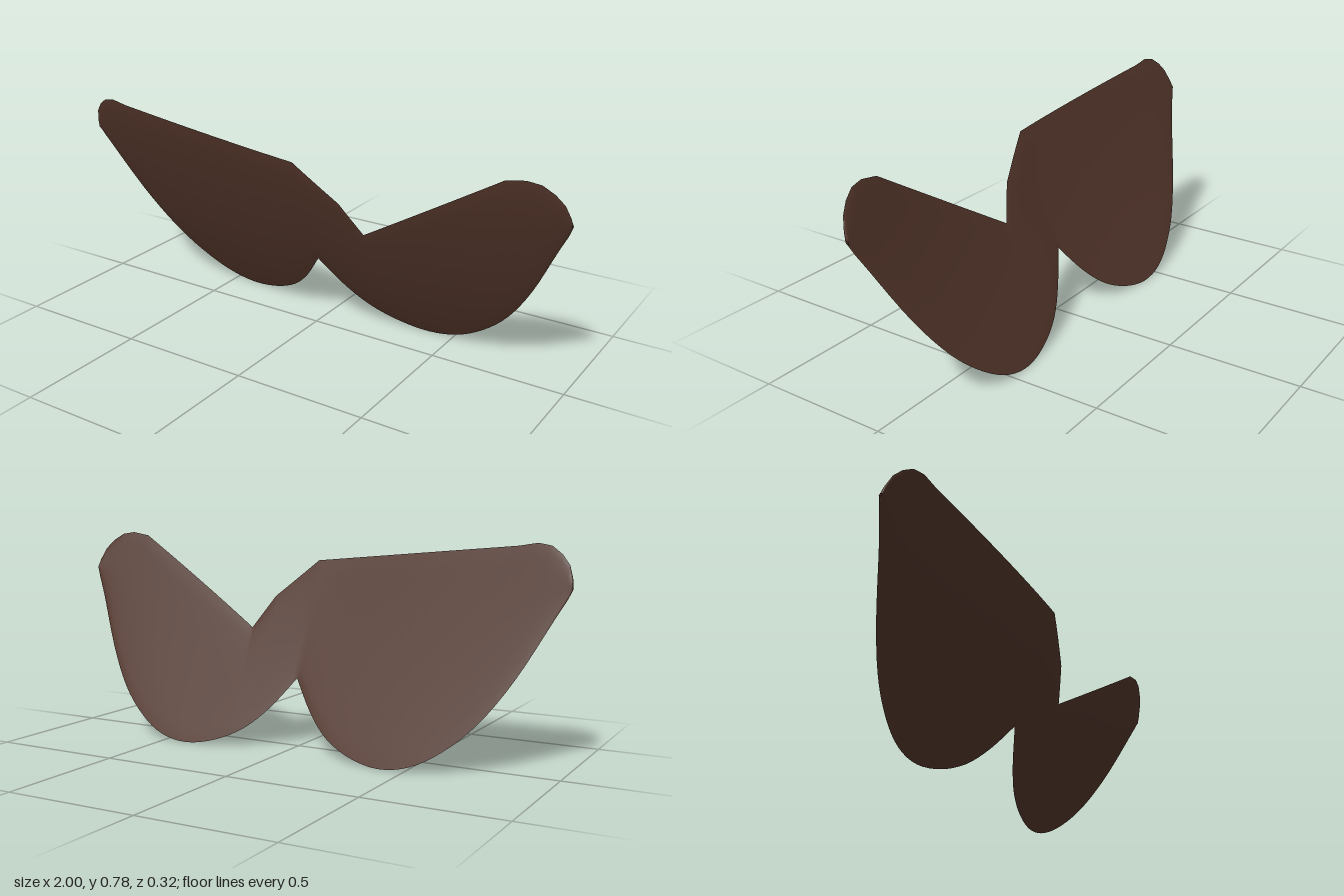
import * as THREE from 'three';

// Lower outline of one wing, mirrored for the other: |x|, y
const LOWER = [[0, 0.26], [0.085, 0.15], [0.175, 0.07], [0.285, 0.02], [0.405, 0], [0.52, 0.02],
  [0.63, 0.08], [0.74, 0.18], [0.845, 0.33], [0.95, 0.53], [0.985, 0.595], [1, 0.63]];

// Upper outline, from the right tip to the left tip: x, y
const UPPER = [[-1, 0.64], [-0.995, 0.67], [-0.98, 0.71], [-0.95, 0.745], [-0.91, 0.772], [-0.86, 0.78],
  [-0.79, 0.768], [0, 0.69], [0.16, 0.55], [0.235, 0.43], [0.79, 0.768], [0.86, 0.78],
  [0.91, 0.772], [0.95, 0.745], [0.98, 0.71], [0.995, 0.67], [1, 0.64]];

const THICKNESS = 0.012;
const ROWS = 20;

// Height of an outline at x
function heightAt(points, x) {
  let i = 1;
  while (i < points.length - 1 && points[i][0] < x) i++;
  const [x0, y0] = points[i - 1], [x1, y1] = points[i];
  return THREE.MathUtils.mapLinear(x, x0, x1, y0, y1);
}

// The sheet leans forward with height and sweeps back towards the tips
const depthAt = (x, y) => -0.143 + 0.543 * y - 0.152 * y * y - 0.072 * Math.abs(x) ** 1.5;

// One face of the sheet: side is 1 for the front, -1 for the back
function sheet(side) {
  const curve = new THREE.SplineCurve(LOWER.map(p => new THREE.Vector2(...p)));
  const lower = curve.getPoints(44).map(p => [p.x, p.y]);
  const all = [...lower.flatMap(p => [p[0], -p[0]]), ...UPPER.map(p => p[0])];
  const xs = [...new Set(all.map(x => Math.round(x * 1000) / 1000 + 0))]
    .filter(x => Math.abs(x) <= 1).sort((a, b) => a - b);

  const positions = [], indices = [];
  xs.forEach((x, i) => {
    const y0 = heightAt(lower, Math.abs(x)), y1 = heightAt(UPPER, x);
    for (let j = 0; j <= ROWS; j++) {
      const v = j / ROWS, y = y0 + (y1 - y0) * v;
      const swell = Math.sqrt(Math.max(0, Math.sin(Math.PI * v))) * THICKNESS / 2;
      positions.push(x, y, depthAt(x, y) + side * swell);
      if (i === xs.length - 1 || j === ROWS) continue;
      const a = i * (ROWS + 1) + j, b = a + ROWS + 1;
      if (side > 0) indices.push(a, b, b + 1, a, b + 1, a + 1);
      else indices.push(a, b + 1, b, a, a + 1, b + 1);
    }
  });
  const geometry = new THREE.BufferGeometry();
  geometry.setAttribute('position', new THREE.Float32BufferAttribute(positions, 3));
  geometry.setIndex(indices);
  geometry.computeVertexNormals();
  return geometry;
}

export function createModel() {
  const model = new THREE.Group();
  model.name = 'moustache';
  const material = new THREE.MeshStandardMaterial({ color: 0x52352a, side: THREE.DoubleSide });
  for (const [name, side] of [['frontFace', 1], ['backFace', -1]]) {
    const mesh = new THREE.Mesh(sheet(side), material);
    mesh.name = name;
    model.add(mesh);
  }
  return model;
}
